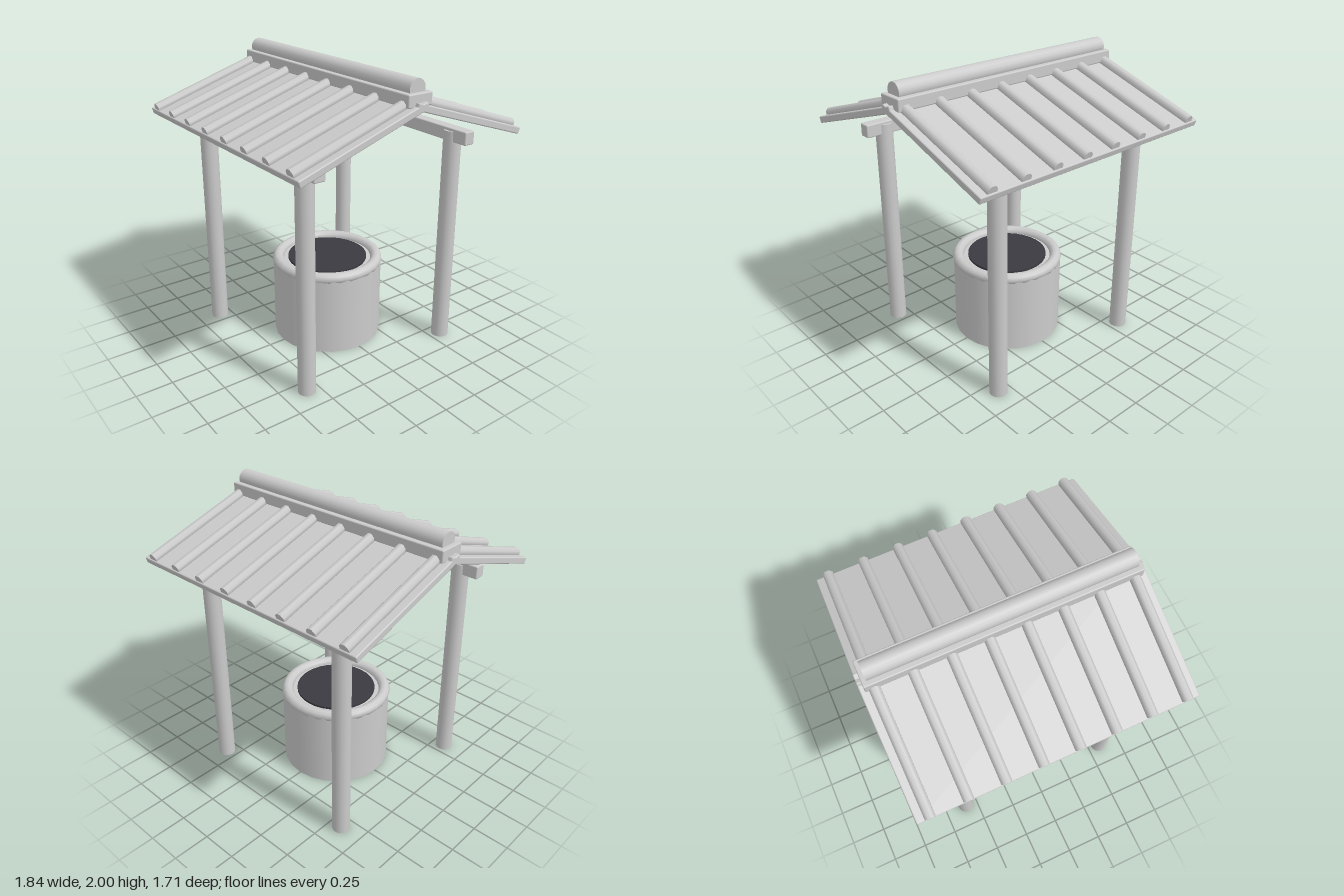
import * as THREE from 'three';
import { RoundedBoxGeometry } from 'three/addons/geometries/RoundedBoxGeometry.js';

const grey = new THREE.MeshStandardMaterial({ color: 0xcccccc });
const dark = new THREE.MeshStandardMaterial({ color: 0x3a3a40 });

function add(parent, name, geometry, x, y, z, material = grey) {
  const mesh = new THREE.Mesh(geometry, material);
  mesh.name = name;
  mesh.position.set(x, y, z);
  parent.add(mesh);
  return mesh;
}

const box = (w, h, d) => new RoundedBoxGeometry(w, h, d, 2, 0.008);

// One sloping half of the roof; its origin lies on the ridge line
function createRoofSide(name) {
  const pitch = THREE.MathUtils.degToRad(18);
  const length = 0.894, overlap = 0.035, thickness = 0.045;
  const side = new THREE.Group();
  side.name = name;
  const slope = new THREE.Group();
  slope.name = 'slope';
  slope.rotation.x = pitch;
  side.add(slope);

  add(slope, 'roofPanel', box(1.84, thickness, length + overlap),
    0, -thickness / 2, (length - overlap) / 2);

  // Round battens running from ridge to eave
  const start = 0.05, end = length - 0.01, count = 8;
  const batten = new THREE.CylinderGeometry(0.036, 0.036, end - start, 8);
  batten.rotateY(Math.PI / 8).rotateX(Math.PI / 2);
  for (let i = 0; i < count; i++) {
    const x = -0.835 + (1.67 * i) / (count - 1);
    add(slope, 'batten', batten, x, 0.01, (start + end) / 2);
  }
  return side;
}

export function createModel() {
  const model = new THREE.Group();
  model.name = 'coveredWell';

  // Well with rounded rim and dark water
  const well = new THREE.Group();
  well.name = 'well';
  model.add(well);
  add(well, 'wellWall', new THREE.CylinderGeometry(0.385, 0.385, 0.56, 24), 0, 0.28, 0);
  add(well, 'wellRim', new THREE.TorusGeometry(0.35, 0.04, 10, 32).rotateX(Math.PI / 2), 0, 0.56, 0);
  add(well, 'water', new THREE.CylinderGeometry(0.28, 0.28, 0.03, 32), 0, 0.56, 0, dark);

  // Posts and the beams across them
  const post = new THREE.CylinderGeometry(0.06, 0.06, 1.54, 16);
  for (const z of [-0.587, 0.587]) {
    for (const x of [-0.587, 0.587]) add(model, 'post', post, x, 0.77, z);
    add(model, 'beam', box(1.48, 0.09, 0.08), 0, 1.515, z);
  }

  // Roof: two mirrored slopes and the ridge
  const roof = new THREE.Group();
  roof.name = 'roof';
  model.add(roof);
  const front = createRoofSide('frontRoof');
  const back = createRoofSide('backRoof');
  back.rotation.y = Math.PI;
  for (const side of [front, back]) {
    side.position.y = 1.863;
    roof.add(side);
  }
  add(roof, 'ridgeBase', box(1.78, 0.08, 0.18), 0, 1.88, 0);
  add(roof, 'ridgeRoll',
    new THREE.CylinderGeometry(0.06, 0.06, 1.72, 16).rotateZ(Math.PI / 2), 0, 1.94, 0);

  return model;
}
